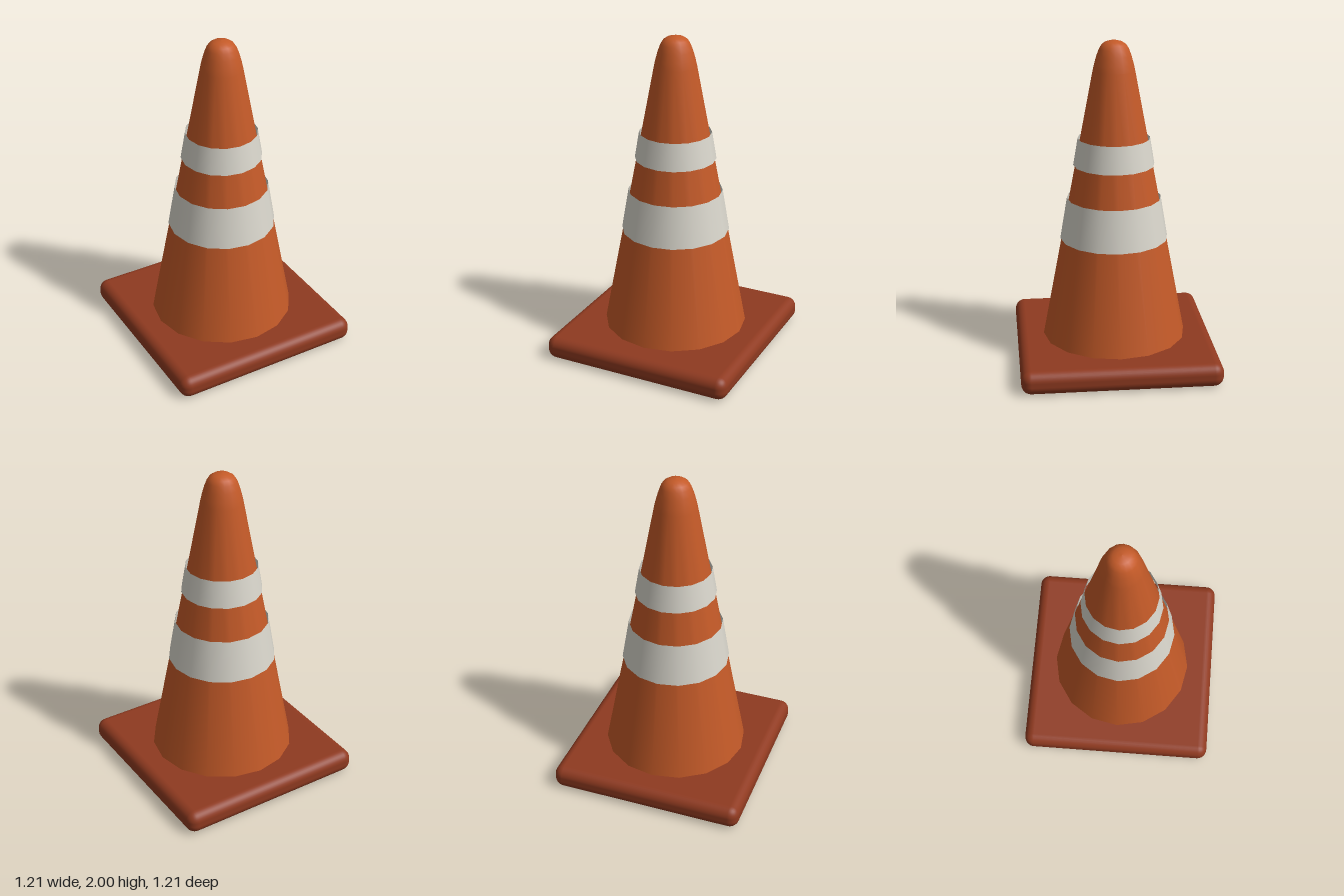
import * as THREE from 'three';
import { RoundedBoxGeometry } from 'three/addons/geometries/RoundedBoxGeometry.js';

const SIDES = 16;

export function createModel() {
  const group = new THREE.Group();
  const add = (name, geometry, color, side = THREE.FrontSide) => {
    const mesh = new THREE.Mesh(geometry, new THREE.MeshStandardMaterial({ color, side }));
    mesh.name = name;
    group.add(mesh);
    return mesh;
  };

  // Square foot with rounded edges
  add('base', new RoundedBoxGeometry(1.214, 0.145, 1.214, 4, 0.06), 0x8f3a20).position.y = 0.0725;

  // Tapered body with a rounded tip, listed from bottom to top
  const profile = [
    [0.445, 0.14], [0.127, 1.82], [0.118, 1.86], [0.104, 1.91], [0.089, 1.95],
    [0.073, 1.975], [0.05, 1.99], [0.025, 1.997], [0, 2],
  ].map(([r, y]) => new THREE.Vector2(r, y));
  add('coneBody', new THREE.LatheGeometry(profile, SIDES), 0xc45a28, THREE.DoubleSide);

  // Pale sleeves that stand slightly proud of the body
  const addBand = (name, bottomY, topY, bottomR, topR) => {
    const sleeve = new THREE.CylinderGeometry(topR, bottomR, topY - bottomY, SIDES, 1, true);
    add(name, sleeve, 0xd9d6cc, THREE.DoubleSide).position.y = (bottomY + topY) / 2;
  };
  addBand('lowerBand', 0.775, 1.033, 0.332, 0.289);
  addBand('upperBand', 1.24, 1.407, 0.248, 0.22);

  return group;
}
